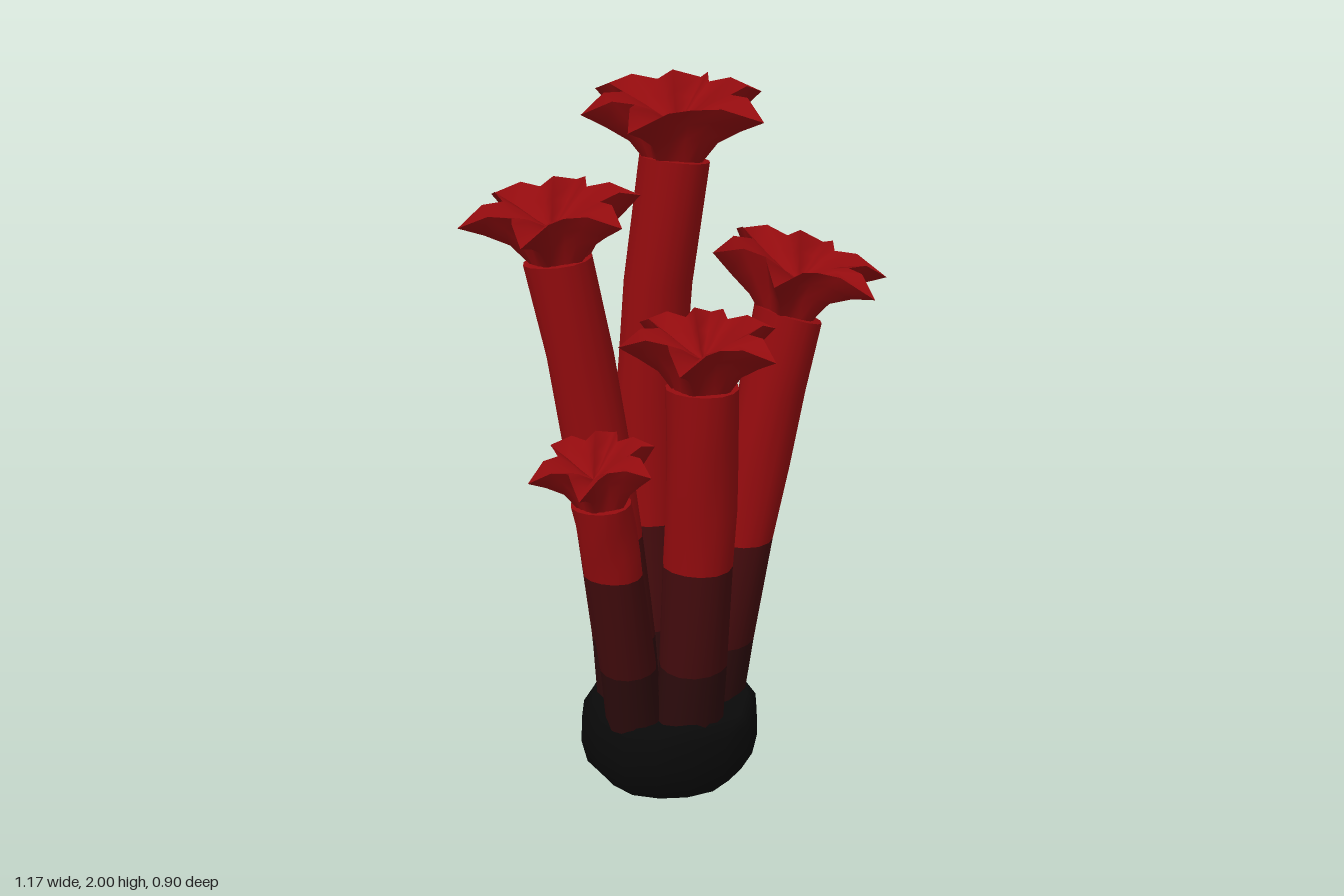
import * as THREE from 'three';

const mat = (name, color) => {
  const m = new THREE.MeshStandardMaterial({ color });
  m.name = name;
  return m;
};

// Skin closed rings of [x, y, z] points, bottom to top; a repeated ring gives a sharp edge.
// bandOf(row) picks the material index of each strip.
function loft(rings, bandOf = () => 0) {
  const n = rings[0].length, index = [];
  const geo = new THREE.BufferGeometry();
  for (let r = 0; r < rings.length - 1; r++) {
    geo.addGroup(index.length, n * 6, bandOf(r));
    for (let i = 0; i < n; i++) {
      const a = r * n + i, b = r * n + (i + 1) % n;
      index.push(a, a + n, b, b, a + n, b + n);
    }
  }
  geo.setAttribute('position', new THREE.Float32BufferAttribute(rings.flat(2), 3));
  geo.setIndex(index);
  geo.computeVertexNormals();
  return geo;
}

const ring = (n, fn) => Array.from({ length: n }, (_, i) => fn((i / n) * Math.PI * 2, i));
const lerp = THREE.MathUtils.lerp;

// Heights where the tubes begin and where their colour changes
const FOOT = 0.15, LOW = 0.41, HIGH = 0.73;

// Bowed tube through foot, middle and top, with level rings and a sloping mouth
function tubeGeometry({ foot, middle, top, radius, tilt }) {
  const [tx, ty, tz] = top;
  const bow = (t, a, b, c) => a * (1 - t) * (1 - 2 * t) + b * 4 * t * (1 - t) + c * t * (2 * t - 1);
  const levels = [FOOT, LOW, HIGH, ...[1, 2, 3].map(k => lerp(HIGH, ty, k / 3))];
  const rings = levels.map((y, k) => {
    const t = (y - FOOT) / (ty - FOOT);
    const x = bow(t, foot[0], middle[0], tx), z = bow(t, foot[1], middle[1], tz);
    const slope = k === levels.length - 1 ? tilt : 0;
    return ring(14, a => {
      const r = radius * (1 + 0.03 * Math.sin(a * 3 + k * 2));
      return [x + r * Math.cos(a), y + slope * r * Math.cos(a), z + r * Math.sin(a)];
    });
  });
  rings.push(rings.at(-1), ring(14, () => [tx, ty + 0.01, tz]));
  return loft(rings, r => Math.min(r, 2));
}

// Six-pointed flared crown: cone-like underside, folded petals and a dished top
function crownGeometry({ top, centre, reach, tips, rim, slope, radius }) {
  const [bx, by, bz] = top, [cx, cz] = centre, h = rim - by, neck = radius * 0.75;
  const spread = [1, 0.73, 0.54, 0.73]; // tip, side, valley, side
  const lift = [-0.15, 0.08, 0.03, 0.08];
  const angle = i => {
    const k = Math.floor(i / 4), next = k === 5 ? tips[0] + 360 : tips[k + 1];
    return THREE.MathUtils.degToRad(lerp(tips[k], next, (i % 4) / 4));
  };
  const row = (f, height, under) => ring(24, (_, i) => {
    const c = Math.cos(angle(i)), s = Math.sin(angle(i));
    const r = reach * spread[i % 4];
    const x = lerp(under ? bx + neck * c : cx, cx + r * c, f);
    const z = lerp(under ? bz + neck * s : cz, cz + r * s, f);
    const tilt = (slope[0] * (x - cx) + slope[1] * (z - cz)) * f;
    return [x, by + h * (height + lift[i % 4] * f) + tilt, z];
  });
  const edge = row(1, 1, true);
  return loft([
    row(0, -0.1, true), row(0.3, 0.38, true), row(0.65, 0.7, true), edge,
    edge, row(0.6, 0.84, false), row(0.25, 0.66, false), row(0, 0.56, false),
  ]);
}

// foot, middle and centre are [x, z]; top is [x, y, z]; tips are petal angles in degrees;
// slope leans the crown along x and z
const stalks = [
  { name: 'tallBack', foot: [-0.03, -0.1], middle: [-0.04, -0.21], top: [0.045, 1.78, -0.205], radius: 0.1, tilt: -0.1,
    centre: [0.05, -0.21], reach: 0.275, tips: [-14, 47, 133, 176, 228, 300], rim: 1.95, slope: [0.04, -0.18] },
  { name: 'left', foot: [-0.14, -0.05], middle: [-0.2, -0.073], top: [-0.315, 1.54, -0.09], radius: 0.095, tilt: 0.12,
    centre: [-0.33, -0.1], reach: 0.252, tips: [-3, 54, 119, 180, 240, 298], rim: 1.69, slope: [0.12, -0.15] },
  { name: 'right', foot: [0.085, 0.02], middle: [0.18, 0.04], top: [0.305, 1.38, 0.035], radius: 0.094, tilt: -0.3,
    centre: [0.335, 0.03], reach: 0.25, tips: [5, 56, 125, 180, 243, 305], rim: 1.54, slope: [-0.18, -0.18] },
  { name: 'front', foot: [-0.015, 0.14], middle: [0, 0.197], top: [0, 1.25, 0.235], radius: 0.098, tilt: 0,
    centre: [-0.01, 0.265], reach: 0.22, tips: [-13, 49, 121, 188, 236, 292], rim: 1.4, slope: [0.03, -0.13] },
  { name: 'shortLeft', foot: [-0.16, 0.1], middle: [-0.212, 0.172], top: [-0.278, 0.95, 0.235], radius: 0.081, tilt: 0.05,
    centre: [-0.3, 0.24], reach: 0.178, tips: [-10, 45, 114, 174, 242, 300], rim: 1.08, slope: [0.13, -0.15] },
];

// Lumpy rounded foot
function rockGeometry() {
  const levels = [[0, 0.21, 0.195], [0.05, 0.25, 0.23], [0.12, 0.266, 0.252], [0.2, 0.264, 0.252], [0.245, 0.235, 0.23]];
  const rings = levels.map(([y, rx, rz], k) => ring(16, (a, i) => {
    const w = 1 + 0.015 * Math.sin(i * 2.4 + k * 0.7);
    const bump = k === 4 ? 0.012 * Math.sin(a * 5) : 0;
    return [-0.035 + rx * w * Math.cos(a), y + bump, 0.02 + rz * w * Math.sin(a)];
  }));
  const cap = y => ring(16, () => [-0.035, y, 0.02]);
  return loft([cap(0), rings[0], ...rings, cap(0.22)]);
}

export function createModel() {
  const model = new THREE.Group();
  model.name = 'tubeCluster';
  const red = mat('red', 0x930b0e);
  const bands = [mat('darkMaroon', 0x2c0b0c), mat('maroon', 0x430b0d), red];
  const black = mat('black', 0x090909);
  const add = (parent, name, geo, material) => {
    const mesh = new THREE.Mesh(geo, material);
    mesh.name = name;
    parent.add(mesh);
  };

  add(model, 'rockBase', rockGeometry(), [black]);
  for (const s of stalks) {
    const stalk = new THREE.Group();
    stalk.name = s.name + 'Stalk';
    add(stalk, 'tube', tubeGeometry(s), bands);
    add(stalk, 'crown', crownGeometry(s), [red]);
    model.add(stalk);
  }
  return model;
}
